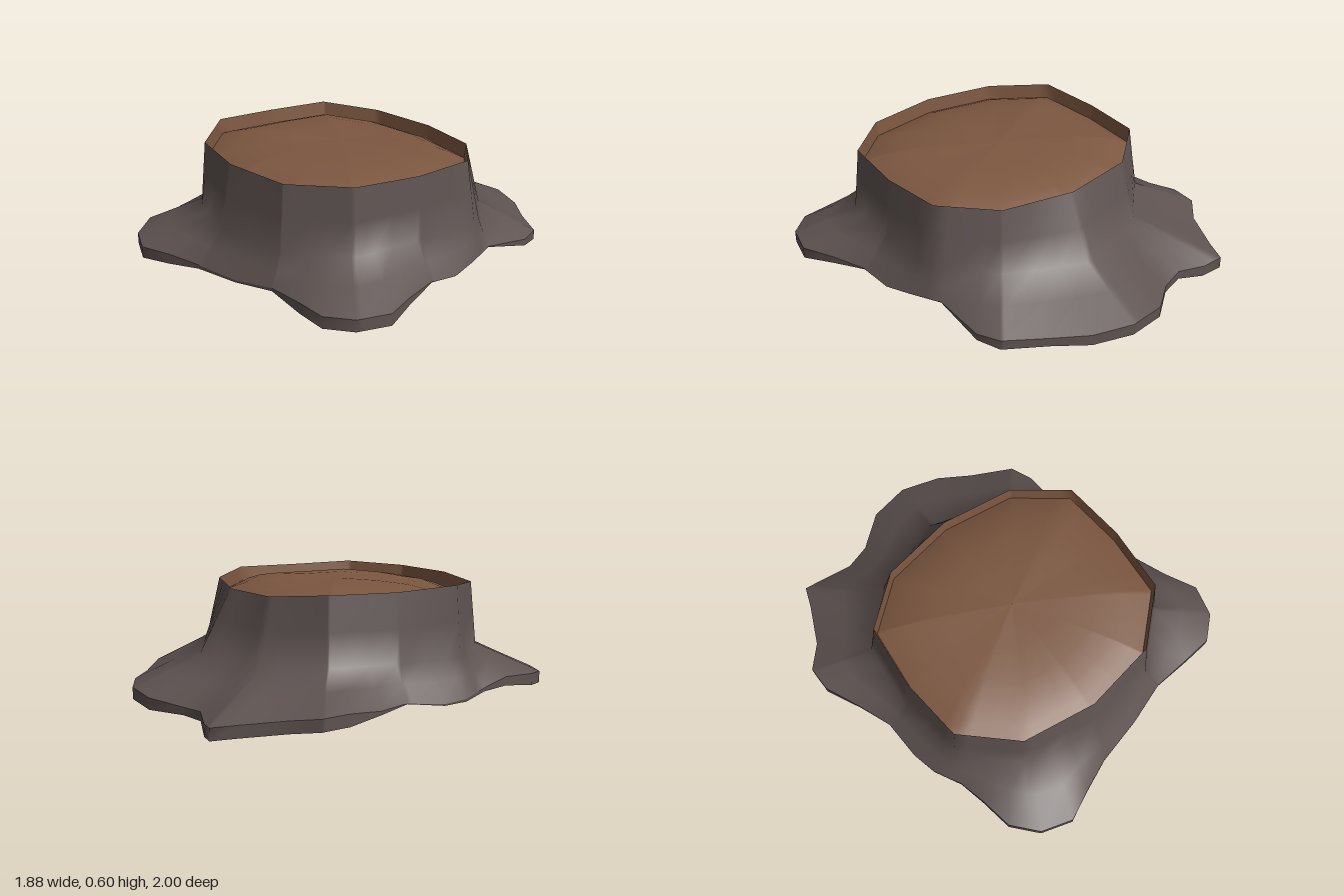
import * as THREE from 'three';

// Root outline walked around the base: x, z, height of the underside
const OUTLINE = [
  [0.04, -1.0, 0.04], [0.24, -0.94, 0.04], [0.4, -0.84, 0.05], [0.6, -0.73, 0.06], [0.65, -0.62, 0.07],
  [0.66, -0.36, 0.13], [0.73, -0.2, 0.12], [0.77, -0.06, 0.1], [0.79, 0.1, 0.12], [0.86, 0.28, 0.09],
  [0.94, 0.44, 0.07], [0.9, 0.6, 0.07], [0.79, 0.7, 0.07], [0.64, 0.715, 0.08], [0.43, 0.73, 0.11],
  [0.22, 0.8, 0.09], [-0.03, 0.86, 0.08], [-0.2, 0.93, 0.06], [-0.35, 1.0, 0.055], [-0.51, 0.95, 0.06],
  [-0.62, 0.83, 0.08], [-0.65, 0.66, 0.1], [-0.68, 0.52, 0.09], [-0.75, 0.38, 0.07], [-0.78, 0.25, 0.07],
  [-0.79, 0.05, 0.1], [-0.85, -0.11, 0.08], [-0.94, -0.3, 0.07], [-0.94, -0.43, 0.06], [-0.84, -0.54, 0.04],
  [-0.75, -0.74, 0.02], [-0.71, -0.85, 0.01], [-0.6, -0.84, 0.0], [-0.45, -0.81, 0.03], [-0.32, -0.85, 0.03],
  [-0.16, -0.97, 0.03],
];
// Twelve corners of the trunk where the roots start, and of the sawn rim: x, z, y
const WAIST = [
  [0, -0.67, 0.25], [0.4, -0.52, 0.26], [0.65, -0.3, 0.27], [0.67, 0.07, 0.28], [0.64, 0.42, 0.27], [0.38, 0.66, 0.26],
  [0, 0.74, 0.26], [-0.37, 0.66, 0.26], [-0.63, 0.42, 0.26], [-0.68, 0.07, 0.26], [-0.65, -0.28, 0.26], [-0.4, -0.53, 0.25],
];
const RIM = [
  [0, -0.51, 0.555], [0.37, -0.45, 0.565], [0.61, -0.25, 0.585], [0.64, 0.07, 0.582], [0.61, 0.4, 0.59], [0.37, 0.62, 0.58],
  [0, 0.68, 0.58], [-0.37, 0.62, 0.575], [-0.61, 0.4, 0.597], [-0.64, 0.07, 0.585], [-0.61, -0.25, 0.585], [-0.37, -0.45, 0.56],
];
const CZ = 0.05;

// All outline and rim corner directions, so every ring keeps its corners
const angles = [...OUTLINE, ...RIM].map(([x, z]) => Math.atan2(z - CZ, x)).sort((a, b) => a - b);

// Point where the ray at angle a leaves a polygon of [x, z, y] corners, as [x, y, z]
function rayPoint(poly, a) {
  const dx = Math.cos(a), dz = Math.sin(a);
  const cross = ([x, z]) => x * dz - (z - CZ) * dx;
  for (let i = 0; i < poly.length; i++) {
    const p = poly[i], q = poly[(i + 1) % poly.length];
    const cp = cross(p), cq = cross(q);
    if (cp < -1e-9 || cq > 1e-9 || cp - cq < 1e-9 || p[0] * dx + (p[1] - CZ) * dz <= 0) continue;
    const [x, z, y] = p.map((v, k) => v + (q[k] - v) * cp / (cp - cq));
    return [x, y, z];
  }
  throw new Error('ring is not closed');
}
const ring = poly => angles.map(a => rayPoint(poly, a));
const mix = (from, to, t) => from.map((p, j) => p.map((v, k) => v + (to[j][k] - v) * t));

// Skin between closed rings, outward facing when listed upwards
function loft(rings) {
  const n = rings[0].length;
  const index = [];
  for (let r = 0; r < rings.length - 1; r++) {
    for (let j = 0; j < n; j++) {
      const k = (j + 1) % n;
      const a = r * n + j, b = r * n + k, c = a + n, d = b + n;
      index.push(a, c, b, b, c, d);
    }
  }
  const geo = new THREE.BufferGeometry();
  geo.setAttribute('position', new THREE.Float32BufferAttribute(rings.flat(2), 3));
  geo.setIndex(index);
  geo.computeVertexNormals();
  return geo;
}

export function createModel() {
  const bark = new THREE.MeshStandardMaterial({ color: 0x5e5351, side: THREE.DoubleSide });
  bark.name = 'bark';
  const wood = new THREE.MeshStandardMaterial({ color: 0x7c5740, side: THREE.DoubleSide });
  wood.name = 'cutWood';

  const group = new THREE.Group();
  group.name = 'treeStump';
  const add = (name, geo, mat) => {
    const mesh = new THREE.Mesh(geo, mat);
    mesh.name = name;
    group.add(mesh);
  };

  // Root ends are thick, the hollows between them taper to a thin edge
  const under = ring(OUTLINE);
  const base = under.map(([x, y, z]) => {
    const thick = 0.055 * THREE.MathUtils.smoothstep(Math.hypot(x, z), 0.78, 1.0);
    return [x, y + thick + 0.003, z];
  });
  add('rootEdge', loft([under, base]), bark);

  // Trunk rising from the spreading roots to the rim
  const waist = ring(WAIST);
  const rim = ring(RIM);
  add('trunkAndRoots', loft([base, mix(base, waist, 0.5), waist, mix(waist, rim, 0.5), rim]), bark);

  // Domed cut face set just below the rim, with the wood lining around it
  const domeRing = s => rim.map(([x, y, z]) => [x * s, 0.58 + (y - 0.58) * s - 0.08 * s ** 4, CZ + (z - CZ) * s]);
  add('rimLining', loft([domeRing(0.985), rim]), wood);
  add('cutFace', loft([0.985, 0.9, 0.78, 0.6, 0.35, 0.001].map(domeRing)), wood);

  return group;
}
